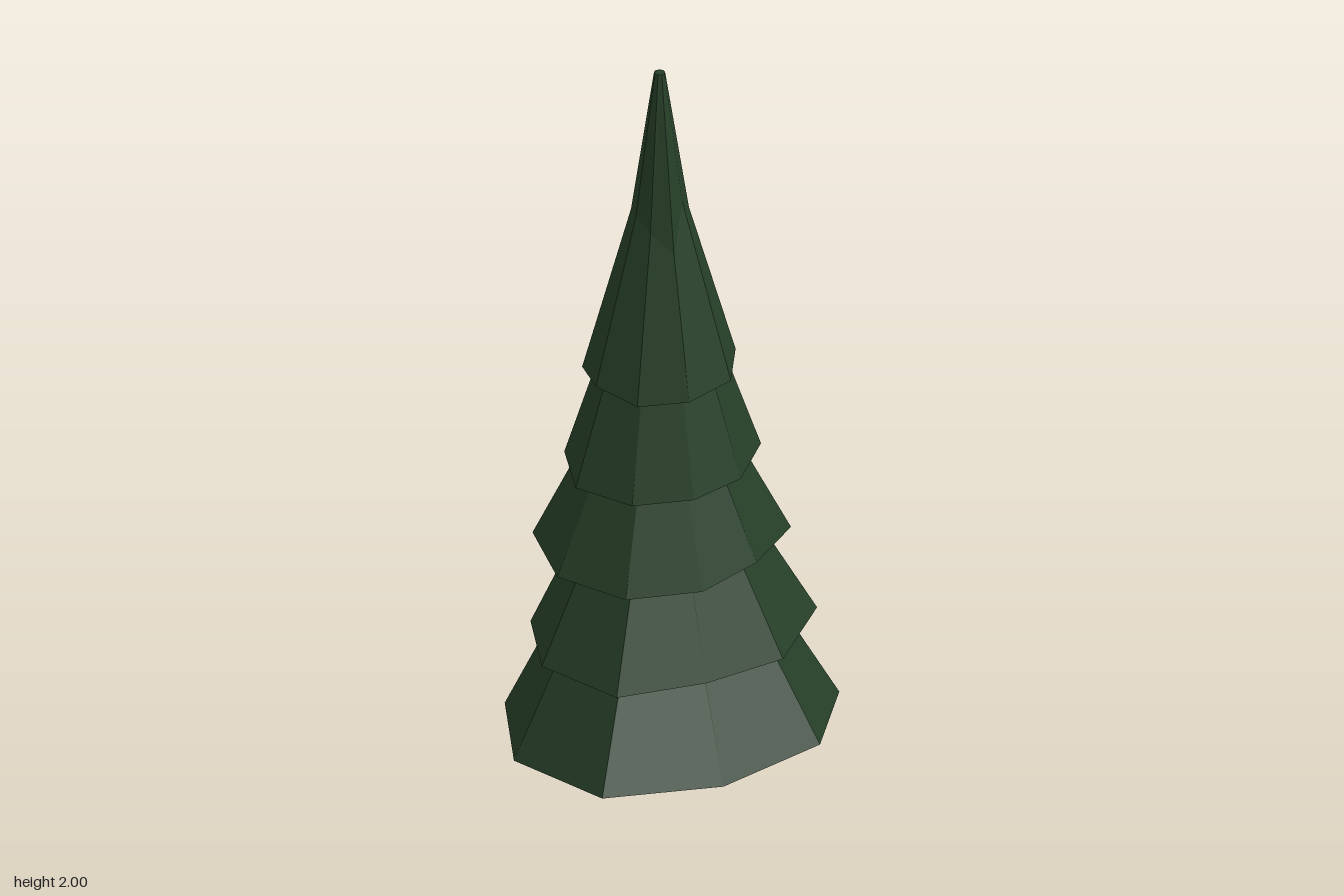
import * as THREE from 'three';

const SIDES = 9;
const TIP = 0.014;

// Irregular closed cone: uneven skirt of radii and heights rising to a small cap.
function tierGeometry(radii, heights, topY) {
  const ring = (r, y) => Array.from({ length: SIDES }, (_, i) => {
    const a = (i / SIDES) * Math.PI * 2;
    const radius = Array.isArray(r) ? r[i] : r;
    return [Math.sin(a) * radius, Array.isArray(y) ? y[i] : y, -Math.cos(a) * radius];
  });
  const low = ring(radii, heights);
  const high = ring(TIP, topY);
  const meanY = heights.reduce((s, y) => s + y, 0) / SIDES;
  const positions = [];
  const face = (...corners) => corners.forEach((c) => positions.push(...c));
  for (let i = 0; i < SIDES; i++) {
    const j = (i + 1) % SIDES;
    face(low[j], low[i], high[i]);
    face(low[j], high[i], high[j]);
    face([0, meanY, 0], low[i], low[j]);
    face([0, topY, 0], high[j], high[i]);
  }
  const geometry = new THREE.BufferGeometry();
  geometry.setAttribute('position', new THREE.Float32BufferAttribute(positions, 3));
  geometry.computeVertexNormals();
  return geometry;
}

// Skirt radii start at the back and run towards the model's left (+x).
const TIERS = [
  { top: 0.95, r: [0.393, 0.461, 0.45, 0.409, 0.49, 0.434, 0.39, 0.42, 0.444],
    y: [0.155, 0.16, 0.183, 0.16, 0.178, 0.155, 0.16, 0.178, 0.165] },
  { top: 1.1, r: [0.359, 0.404, 0.346, 0.3, 0.366, 0.351, 0.325, 0.374, 0.38],
    y: [0.425, 0.41, 0.402, 0.4, 0.4, 0.4, 0.4, 0.412, 0.41] },
  { top: 1.29, r: [0.308, 0.337, 0.272, 0.275, 0.29, 0.305, 0.32, 0.24, 0.296],
    y: [0.645, 0.65, 0.66, 0.65, 0.64, 0.643, 0.655, 0.65, 0.65] },
  { top: 1.62, r: [0.271, 0.26, 0.228, 0.22, 0.235, 0.25, 0.24, 0.219, 0.22],
    y: [0.89, 0.9, 0.89, 0.885, 0.88, 0.882, 0.893, 0.9, 0.89] },
  { top: 1.82, r: [0.161, 0.195, 0.2, 0.19, 0.19, 0.19, 0.195, 0.187, 0.18],
    y: [1.19, 1.18, 1.165, 1.15, 1.14, 1.155, 1.14, 1.125, 1.15] },
  { top: 2, r: [0.128, 0.105, 0.095, 0.112, 0.105, 0.1, 0.1, 0.112, 0.112],
    y: [1.4, 1.41, 1.42, 1.4, 1.39, 1.4, 1.41, 1.4, 1.4] },
];

export function createModel() {
  const foliage = new THREE.MeshStandardMaterial({ color: 0x263f28 });
  foliage.name = 'foliageGreen';
  const bark = new THREE.MeshStandardMaterial({ color: 0x50311e });
  bark.name = 'barkBrown';

  const tree = new THREE.Group();
  tree.name = 'pineTree';

  // Tapered trunk
  const trunkGeometry = new THREE.CylinderGeometry(0.028, 0.042, 0.3, SIDES).toNonIndexed();
  trunkGeometry.computeVertexNormals();
  const trunk = new THREE.Mesh(trunkGeometry, bark);
  trunk.name = 'trunk';
  trunk.position.set(-0.016, 0.15, -0.038);
  tree.add(trunk);

  // Overlapping foliage tiers
  TIERS.forEach((tier, i) => {
    const mesh = new THREE.Mesh(tierGeometry(tier.r, tier.y, tier.top), foliage);
    mesh.name = `foliageTier${i + 1}`;
    mesh.position.set(-0.016, 0, -0.038);
    tree.add(mesh);
  });
  return tree;
}
